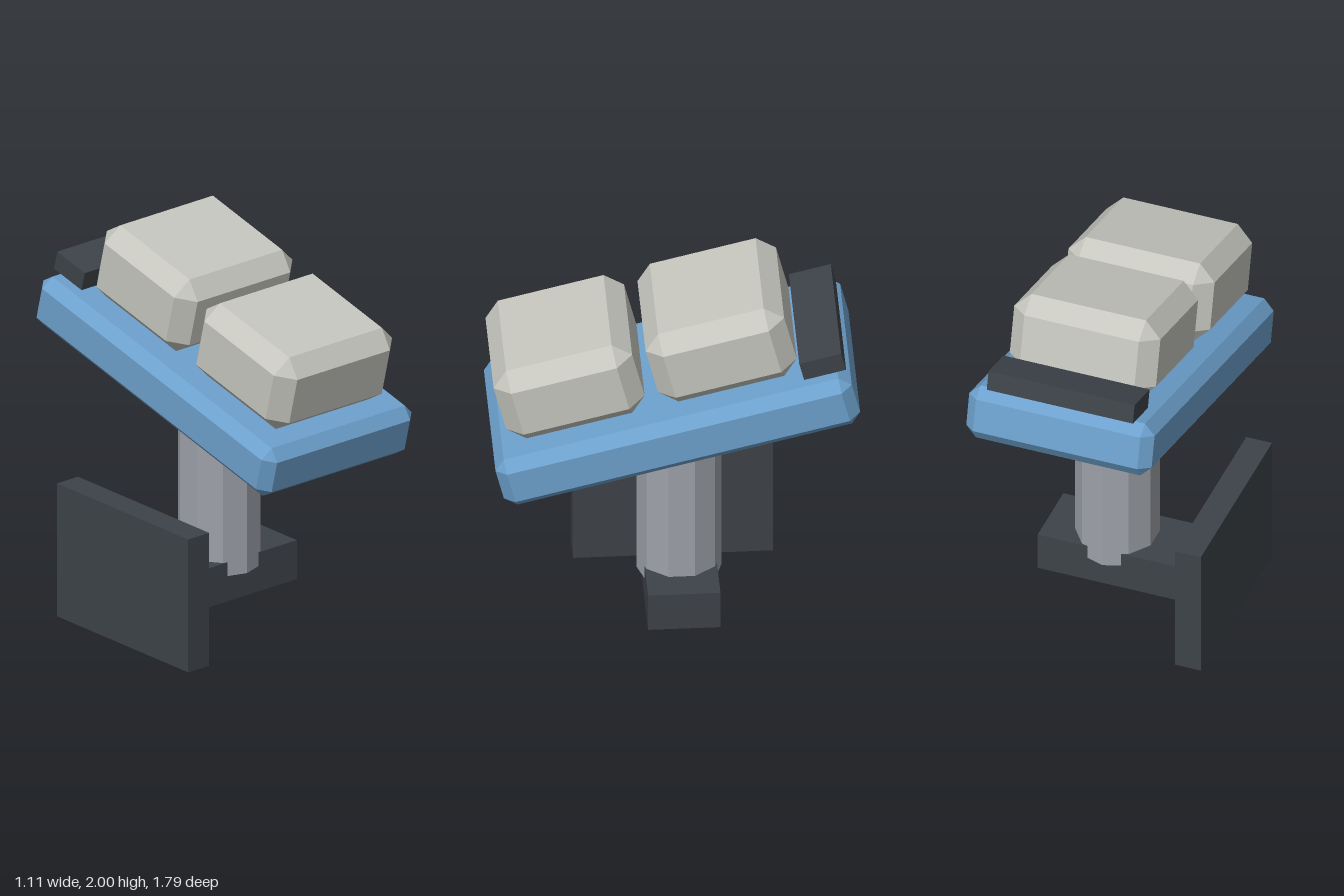
import * as THREE from 'three';
import { ConvexGeometry } from 'three/addons/geometries/ConvexGeometry.js';

const material = (name, color) => {
  const m = new THREE.MeshStandardMaterial({ color, flatShading: true });
  m.name = name;
  return m;
};

// Box with every edge and corner cut off by c; w, h, d are full sizes
function chamferedBox(w, h, d, c) {
  const [x, y, z] = [w / 2, h / 2, d / 2];
  const points = [];
  for (const sx of [-1, 1]) for (const sy of [-1, 1]) for (const sz of [-1, 1]) {
    points.push(
      new THREE.Vector3(sx * x, sy * (y - c), sz * (z - c)),
      new THREE.Vector3(sx * (x - c), sy * y, sz * (z - c)),
      new THREE.Vector3(sx * (x - c), sy * (y - c), sz * z)
    );
  }
  return new ConvexGeometry(points);
}

export function createModel() {
  const blue = material('blue', 0x6ca0cc);
  const cream = material('warm grey', 0xc6c6bf);
  const steel = material('steel grey', 0x9da1a9);
  const dark = material('dark grey', 0x3d4349);

  const model = new THREE.Group();
  model.name = 'tiltedSeatOnBracket';

  const add = (parent, name, geometry, mat, x, y, z) => {
    const mesh = new THREE.Mesh(geometry, mat);
    mesh.name = name;
    mesh.position.set(x, y, z);
    parent.add(mesh);
  };

  // Tilted board with everything that rests on it
  const top = new THREE.Group();
  top.name = 'tiltedTop';
  top.position.set(0.066, 1.32, 0.003);
  top.rotation.x = THREE.MathUtils.degToRad(14);
  model.add(top);

  add(top, 'board', chamferedBox(0.97, 0.28, 1.8, 0.055), blue, 0, 0, 0);
  const cushion = chamferedBox(0.765, 0.42, 0.7, 0.083);
  add(top, 'frontCushion', cushion, cream, 0, 0.35, 0.453);
  add(top, 'rearCushion', cushion, cream, 0, 0.35, -0.315);
  add(top, 'rearBar', new THREE.BoxGeometry(0.765, 0.1, 0.212), dark, 0, 0.196, -0.784);

  // Ten-sided post
  add(model, 'post', new THREE.CylinderGeometry(0.208, 0.208, 0.912, 10), steel, 0.066, 0.732, -0.032);

  // Side bracket: cross arm and upright mounting plate
  add(model, 'crossArm', new THREE.BoxGeometry(0.845, 0.205, 0.355), dark, -0.007, 0.246, -0.034);
  add(model, 'mountingPlate', new THREE.BoxGeometry(0.135, 0.7, 0.98), dark, -0.49, 0.35, -0.034);

  return model;
}
